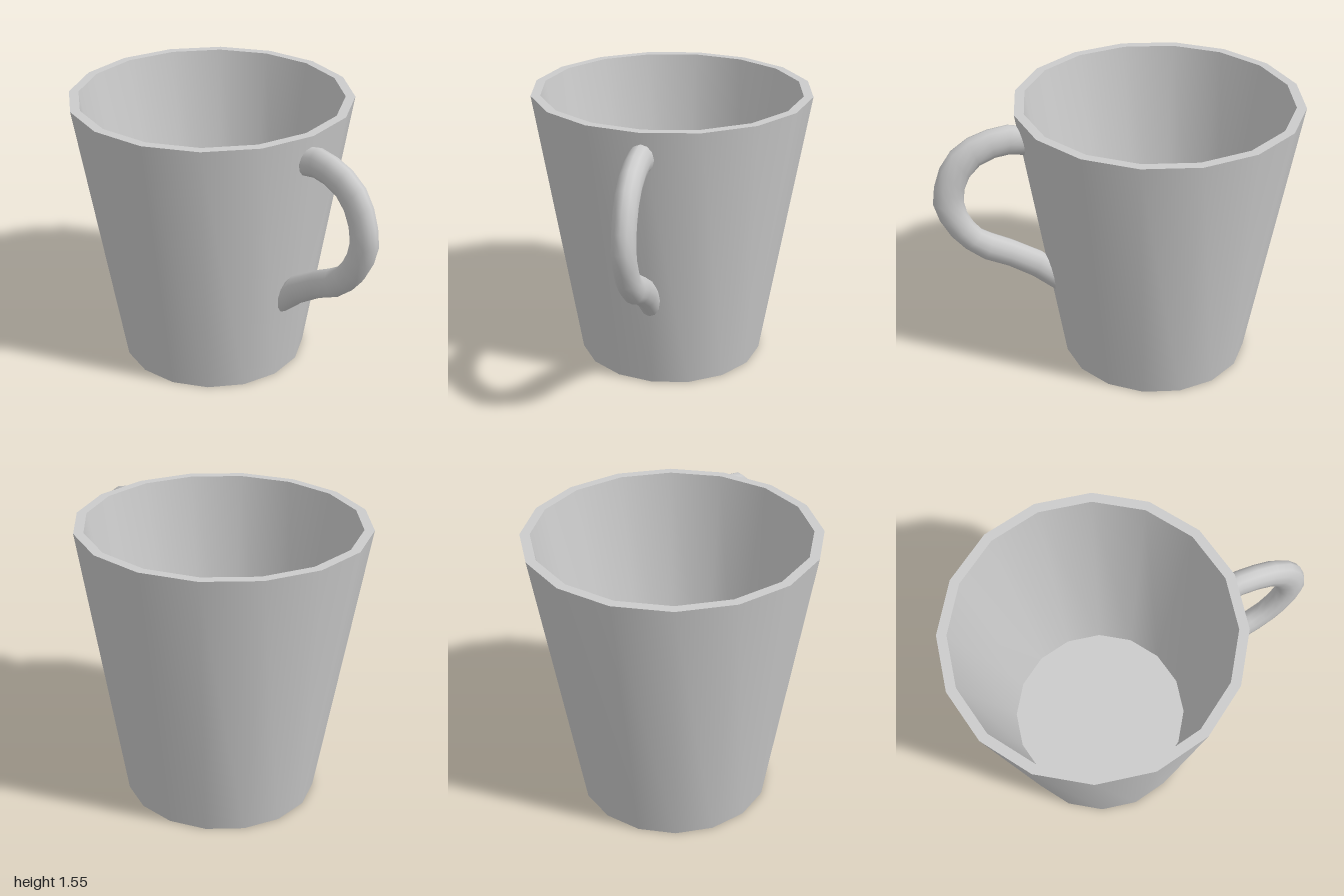
import * as THREE from 'three';
import { toCreasedNormals } from 'three/addons/utils/BufferGeometryUtils.js';

const CUP_X = -0.226;

// Sweeps an oval tube through pairs of outer and inner edge points in the xy plane
function ovalTube(sections, halfDepth, sides) {
  const positions = [], index = [];
  sections.forEach(([ox, oy, ix, iy], i) => {
    for (let j = 0; j < sides; j++) {
      const a = (j / sides) * Math.PI * 2, c = Math.cos(a) / 2;
      positions.push((ox + ix) / 2 + (ox - ix) * c, (oy + iy) / 2 + (oy - iy) * c, halfDepth * Math.sin(a));
      if (i === sections.length - 1) continue;
      const p = i * sides + j, q = i * sides + ((j + 1) % sides);
      index.push(p, q, p + sides, q, q + sides, p + sides);
    }
  });
  const geometry = new THREE.BufferGeometry();
  geometry.setAttribute('position', new THREE.Float32BufferAttribute(positions, 3));
  geometry.setIndex(index);
  geometry.computeVertexNormals();
  return geometry;
}

export function createModel() {
  const group = new THREE.Group();
  group.name = 'mug';
  const material = new THREE.MeshStandardMaterial({ color: 0xcccccc });

  // Tapered 16-sided cup: base, outer wall, rim, inner wall, raised floor
  const profile = [[0, 0], [0.526, 0], [0.774, 1.55], [0.722, 1.55], [0.497, 0.26], [0, 0.26]]
    .map(([r, y]) => new THREE.Vector2(r, y));
  const cup = new THREE.Mesh(toCreasedNormals(new THREE.LatheGeometry(profile, 16), 0.6), material);
  cup.name = 'cup';
  cup.position.x = CUP_X;
  group.add(cup);

  // Curved handle, both ends buried in the wall: outer x, y, inner x, y
  const handleSections = [
    [0.505, 1.48, 0.48, 1.315],
    [0.58, 1.497, 0.585, 1.333],
    [0.69, 1.482, 0.66, 1.323],
    [0.795, 1.447, 0.74, 1.288],
    [0.89, 1.382, 0.795, 1.228],
    [0.95, 1.295, 0.828, 1.153],
    [0.986, 1.19, 0.834, 1.11],
    [1.0, 1.085, 0.836, 1.07],
    [0.971, 0.978, 0.824, 1.013],
    [0.916, 0.872, 0.794, 0.95],
    [0.855, 0.797, 0.748, 0.89],
    [0.755, 0.712, 0.693, 0.856],
    [0.625, 0.648, 0.588, 0.80],
    [0.495, 0.56, 0.424, 0.697],
    [0.38, 0.458, 0.405, 0.678],
    [0.35, 0.43, 0.385, 0.66],
  ];
  const handle = new THREE.Mesh(ovalTube(handleSections, 0.061, 12), material);
  handle.name = 'handle';
  group.add(handle);

  return group;
}
